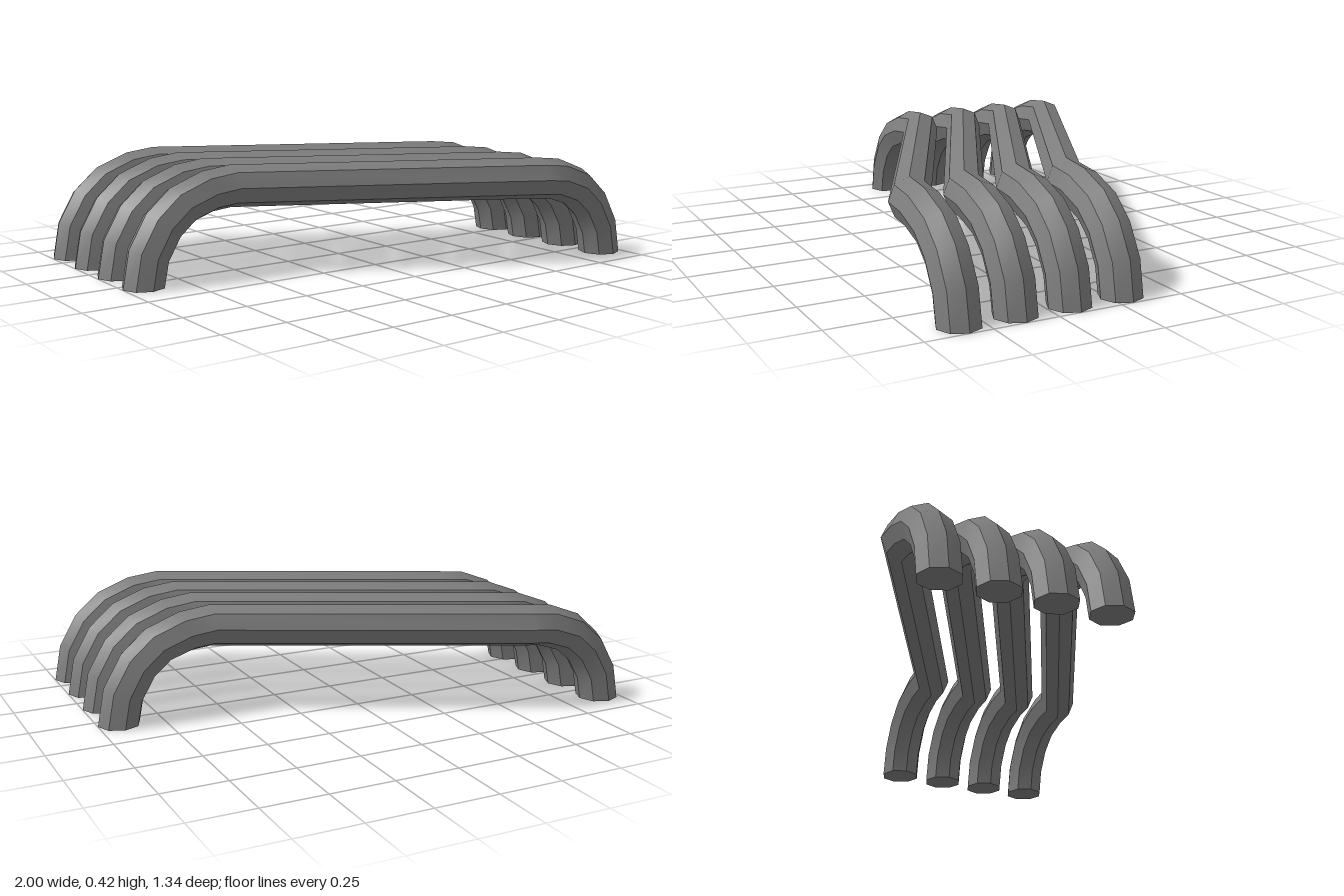
import * as THREE from 'three';
import { toCreasedNormals } from 'three/addons/utils/BufferGeometryUtils.js';

const SIDES = 8;
const RADIUS = 0.082;
const PIPES = 4;
const SPACING = 0.212;
const BACK = -0.588; // z of the rearmost pipe's right-hand foot

// Bend from the foot to the flat top: centre x, centre y, tilt of the ring in degrees
const BEND = [
  [0.918, 0, 0],
  [0.895, 0.117, 21],
  [0.834, 0.221, 39],
  [0.754, 0.29, 57],
  [0.641, 0.331, 74],
  [0.54, 0.342, 90],
];

// One octagonal pipe: a bend up, a slanted run across, and the mirrored bend down
function pipeGeometry(zStart, zEnd) {
  const stations = [
    ...BEND.map(([x, y, deg]) => ({ x: -x, y, z: zStart, deg, side: -1 })),
    ...BEND.toReversed().map(([x, y, deg]) => ({ x, y, z: zEnd, deg, side: 1 })),
  ];
  const rings = stations.map(({ x, y, z, deg, side }) => {
    const tilt = THREE.MathUtils.degToRad(deg);
    const nx = side * Math.cos(tilt);
    const ny = Math.sin(tilt);
    return Array.from({ length: SIDES }, (_, j) => {
      const a = (j / SIDES) * Math.PI * 2;
      const r = RADIUS * Math.cos(a);
      return [x + nx * r, y + ny * r, z + RADIUS * Math.sin(a)];
    });
  });

  const positions = [];
  const tri = (a, b, c) => positions.push(...a, ...b, ...c);
  const last = rings.length - 1;
  const centre = (s) => [s.x, s.y, s.z];
  for (let j = 0; j < SIDES; j++) {
    const k = (j + 1) % SIDES;
    for (let i = 0; i < last; i++) {
      tri(rings[i][j], rings[i][k], rings[i + 1][k]);
      tri(rings[i][j], rings[i + 1][k], rings[i + 1][j]);
    }
    // flat feet
    tri(centre(stations[0]), rings[0][k], rings[0][j]);
    tri(centre(stations[last]), rings[last][j], rings[last][k]);
  }
  const geometry = new THREE.BufferGeometry();
  geometry.setAttribute('position', new THREE.Float32BufferAttribute(positions, 3));
  return toCreasedNormals(geometry, 0.5);
}

export function createModel() {
  const group = new THREE.Group();
  group.name = 'pipeRack';
  const material = new THREE.MeshStandardMaterial({ color: 0x7d7d7d });

  // Parallel pipes from back to front, each stepping forward towards +x
  const step = -2 * BACK - (PIPES - 1) * SPACING;
  for (let i = 0; i < PIPES; i++) {
    const z = BACK + i * SPACING;
    const pipe = new THREE.Mesh(pipeGeometry(z, z + step), material);
    pipe.name = `pipe${i + 1}`;
    group.add(pipe);
  }
  return group;
}
